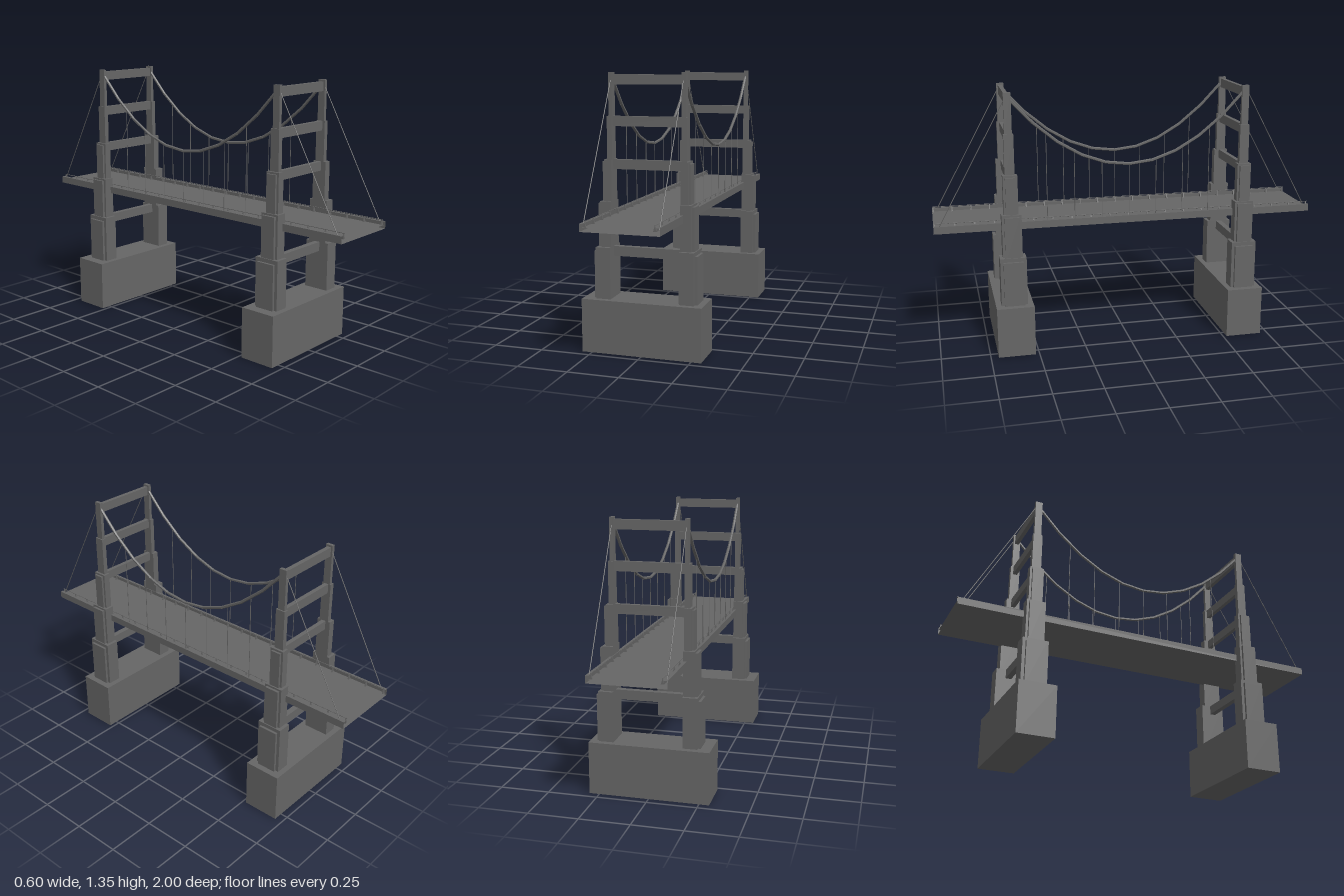
import * as THREE from 'three';

const material = new THREE.MeshStandardMaterial({ color: 0x666666, flatShading: true });
const sheetMaterial = new THREE.MeshStandardMaterial({ color: 0x666666, side: THREE.DoubleSide });

const CX = 0.01;       // centre line of deck and towers
const TOWER_Z = 0.615;
const INNER = 0.172;   // inner face of the tower legs
const CABLE_X = 0.179;
const DECK_Y = 0.67;

function addMesh(parent, name, geometry, mat = material) {
  const mesh = new THREE.Mesh(geometry, mat);
  mesh.name = name;
  parent.add(mesh);
  return mesh;
}

// Box given by its limits on each axis
function addBox(parent, name, [x0, x1], [y0, y1], [z0, z1]) {
  const mesh = addMesh(parent, name, new THREE.BoxGeometry(Math.abs(x1 - x0), y1 - y0, z1 - z0));
  mesh.position.set((x0 + x1) / 2, (y0 + y1) / 2, (z0 + z1) / 2);
}

// Straight round rod between two points
function addRod(parent, name, a, b, radius, sides = 6) {
  const dir = b.clone().sub(a);
  const mesh = addMesh(parent, name, new THREE.CylinderGeometry(radius, radius, dir.length(), sides));
  mesh.position.copy(a).add(b).multiplyScalar(0.5);
  mesh.quaternion.setFromUnitVectors(new THREE.Vector3(0, 1, 0), dir.normalize());
}

function createTower() {
  const tower = new THREE.Group();
  tower.name = 'tower';
  addBox(tower, 'pierBase', [-0.3, 0.3], [0, 0.263], [-0.096, 0.096]);

  // Stepped legs: outer x, bottom, top, half depth
  const tiers = [
    [0.245, 0.263, 0.515, 0.067], [0.258, 0.263, 0.495, 0.051],
    [0.227, 0.515, 0.735, 0.05], [0.24, 0.495, 0.725, 0.038],
    [0.209, 0.735, 0.935, 0.037], [0.22, 0.725, 0.925, 0.026],
    [0.197, 0.925, 1.14, 0.025], [0.19, 1.14, 1.345, 0.019],
  ];
  for (const s of [-1, 1]) {
    for (const [outer, y0, y1, d] of tiers) {
      addBox(tower, 'towerLeg', [CX + s * INNER, CX + s * outer], [y0, y1], [-d, d]);
    }
  }

  // Cross beams between the legs: bottom, top, half depth
  for (const [y0, y1, d] of [[0.467, 0.515, 0.015], [0.888, 0.935, 0.011], [1.092, 1.14, 0.011], [1.288, 1.335, 0.011]]) {
    addBox(tower, 'crossBeam', [CX - INNER, CX + INNER], [y0, y1], [-d, d]);
  }
  return tower;
}

function createDeck() {
  const deck = new THREE.Group();
  deck.name = 'deck';

  // Open-ended deck section with raised edges, clockwise seen from the front
  const profile = [
    [-0.188, 0.65], [-0.188, 0.687], [-INNER, 0.687], [-INNER, DECK_Y],
    [INNER, DECK_Y], [INNER, 0.687], [0.188, 0.687], [0.188, 0.65],
  ];
  profile.forEach(([x0, y0], i) => {
    const [x1, y1] = profile[(i + 1) % profile.length];
    const panel = new THREE.PlaneGeometry(Math.hypot(x1 - x0, y1 - y0), 2).rotateX(-Math.PI / 2);
    const mesh = addMesh(deck, 'deckPanel', panel, sheetMaterial);
    mesh.rotation.z = Math.atan2(y1 - y0, x1 - x0);
    mesh.position.set(CX + (x0 + x1) / 2, (y0 + y1) / 2, 0);
  });

  // Low railings on small triangular posts
  const postShape = new THREE.Shape();
  postShape.moveTo(-0.008, 0);
  postShape.lineTo(0.008, 0);
  postShape.lineTo(0, 0.027);
  postShape.closePath();
  const postGeometry = new THREE.ExtrudeGeometry(postShape, { depth: 0.006, bevelEnabled: false });
  for (const s of [-1, 1]) {
    const x = CX + s * 0.164;
    addRod(deck, 'handrail', new THREE.Vector3(x, 0.697, -1), new THREE.Vector3(x, 0.697, 1), 0.002);
    for (let i = 0; i <= 20; i++) {
      addMesh(deck, 'railPost', postGeometry).position.set(x, DECK_Y, -0.997 + i * 0.0994);
    }
  }
  return deck;
}

function createCables(x) {
  const cables = new THREE.Group();
  cables.name = 'cables';
  const cableY = (z) => 0.96 + 0.362 * (z / TOWER_Z) ** 2;

  // Main cable in straight segments along a parabola
  const count = 10;
  const point = (i) => {
    const z = TOWER_Z * (2 * i / count - 1);
    return new THREE.Vector3(x, cableY(z), z);
  };
  for (let i = 0; i < count; i++) addRod(cables, 'mainCable', point(i), point(i + 1), 0.008);

  // Vertical hangers
  for (let i = -3; i <= 3; i++) {
    const z = i * 0.1425;
    addRod(cables, 'hanger', new THREE.Vector3(x, DECK_Y, z), new THREE.Vector3(x, cableY(z), z), 0.0018);
  }

  // Back stays down to the deck ends
  for (const s of [-1, 1]) {
    addRod(cables, 'backStay', new THREE.Vector3(x, 1.338, s * TOWER_Z), new THREE.Vector3(x, 0.675, s * 0.977), 0.0022);
  }
  return cables;
}

export function createModel() {
  const model = new THREE.Group();
  model.name = 'suspensionBridge';
  for (const s of [-1, 1]) {
    const tower = createTower();
    tower.position.z = s * TOWER_Z;
    model.add(tower, createCables(CX + s * CABLE_X));
  }
  model.add(createDeck());
  return model;
}
